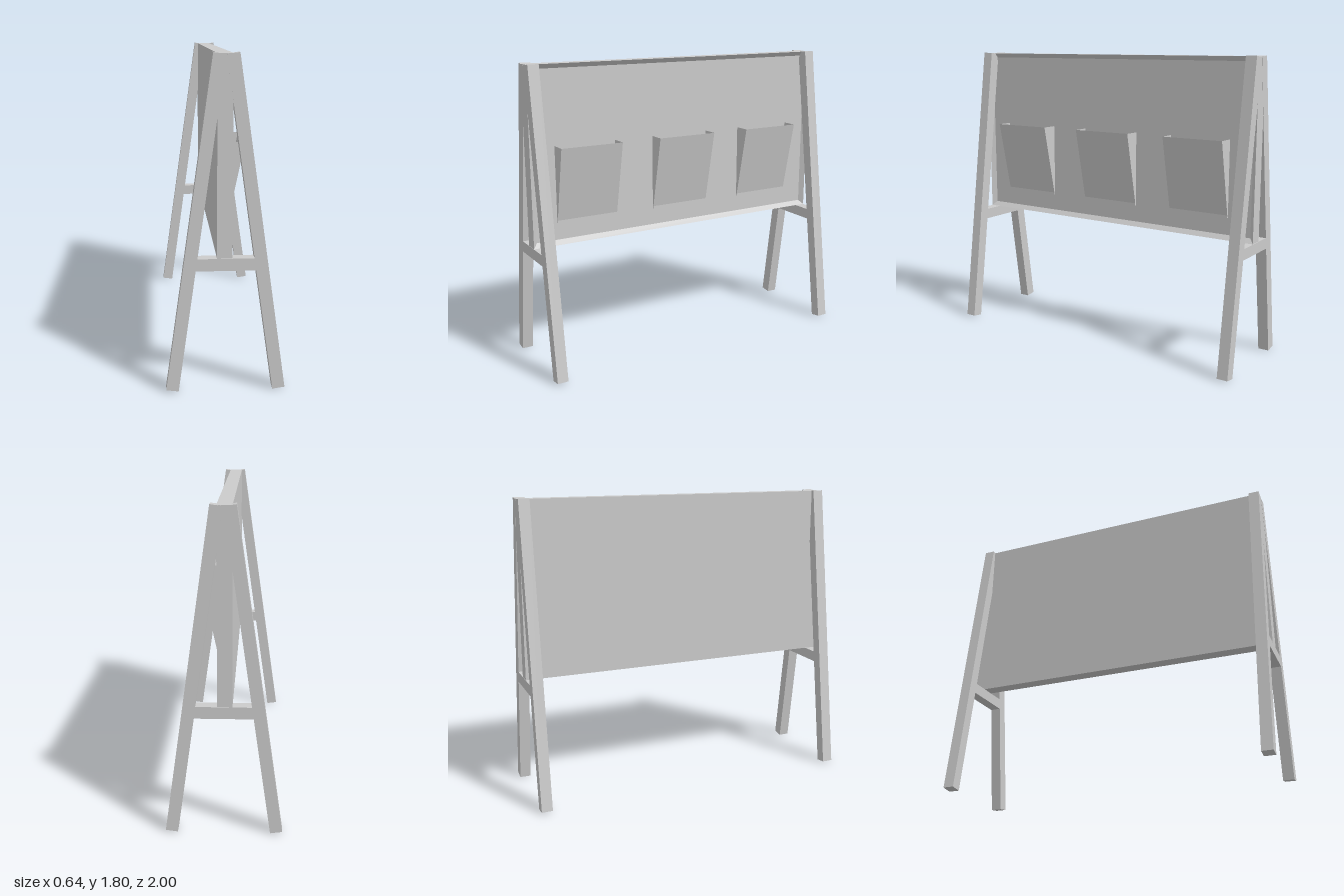
import * as THREE from 'three';

const material = new THREE.MeshStandardMaterial({ color: 0xcccccc, flatShading: true });
const sheetMaterial = new THREE.MeshStandardMaterial({ color: 0xcccccc, flatShading: true, side: THREE.DoubleSide });

// Joins a series of cross-sections (each a list of [x, y, z]) with flat faces
function loft(rings, closed) {
  const n = rings[0].length;
  const index = [];
  for (let i = 0; i < rings.length - 1; i++) {
    for (let j = 0; j < (closed ? n : n - 1); j++) {
      const k = (j + 1) % n;
      const a = i * n + j, b = i * n + k, c = b + n, d = a + n;
      index.push(a, b, c, a, c, d);
    }
  }
  const geometry = new THREE.BufferGeometry();
  geometry.setAttribute('position', new THREE.Float32BufferAttribute(rings.flat(2), 3));
  geometry.setIndex(index);
  const flat = geometry.toNonIndexed();
  flat.computeVertexNormals();
  return flat;
}

function addMesh(parent, name, geometry, mat = material) {
  const mesh = new THREE.Mesh(geometry, mat);
  mesh.name = name;
  parent.add(mesh);
  return mesh;
}

// A-shaped end frame: two leaning legs and a crossbar
function createEndFrame(z) {
  const frame = new THREE.Group();
  frame.name = 'endFrame';
  const depth = 0.066;
  for (const side of [-1, 1]) {
    const leg = addMesh(frame, side > 0 ? 'leftLeg' : 'rightLeg', new THREE.BoxGeometry(0.067, 1.812, depth));
    leg.position.set(side * 0.161, 0.902, 0);
    leg.rotation.z = side * 0.14;
  }
  const bar = addMesh(frame, 'crossbar', new THREE.BoxGeometry(0.34, 0.066, depth));
  bar.position.y = 0.706;
  frame.position.z = z;
  return frame;
}

// Board with a bevelled recess in its +x face
function createBoardGeometry() {
  const ring = (x, hy, hz) => [[-1, 1], [-1, -1], [1, -1], [1, 1]].map(([sy, sz]) => [x, 1.27 + sy * hy, sz * hz]);
  return loft([
    ring(-0.047, 0, 0),
    ring(-0.047, 0.53, 0.999),
    ring(0.034, 0.53, 0.999),
    ring(0.01, 0.503, 0.972),
    ring(0.01, 0, 0),
  ], true);
}

// Open-topped leaflet pocket: [x of front, y] from the bottom up
function createPocketGeometry() {
  const back = 0.01, half = 0.194;
  const profile = [[back, 0.87], [0.018, 0.87], [0.018, 0.885], [0.113, 1.33]];
  return loft(profile.map(([x, y]) => [[back, y, -half], [x, y, -half], [x, y, half], [back, y, half]]), false);
}

export function createModel() {
  const model = new THREE.Group();
  model.name = 'displayBoard';

  for (const side of [-1, 1]) model.add(createEndFrame(side * 0.967));

  addMesh(model, 'board', createBoardGeometry());

  const pocketGeometry = createPocketGeometry();
  for (const z of [0.645, 0.003, -0.632]) {
    addMesh(model, 'pocket', pocketGeometry, sheetMaterial).position.z = z;
  }
  return model;
}
